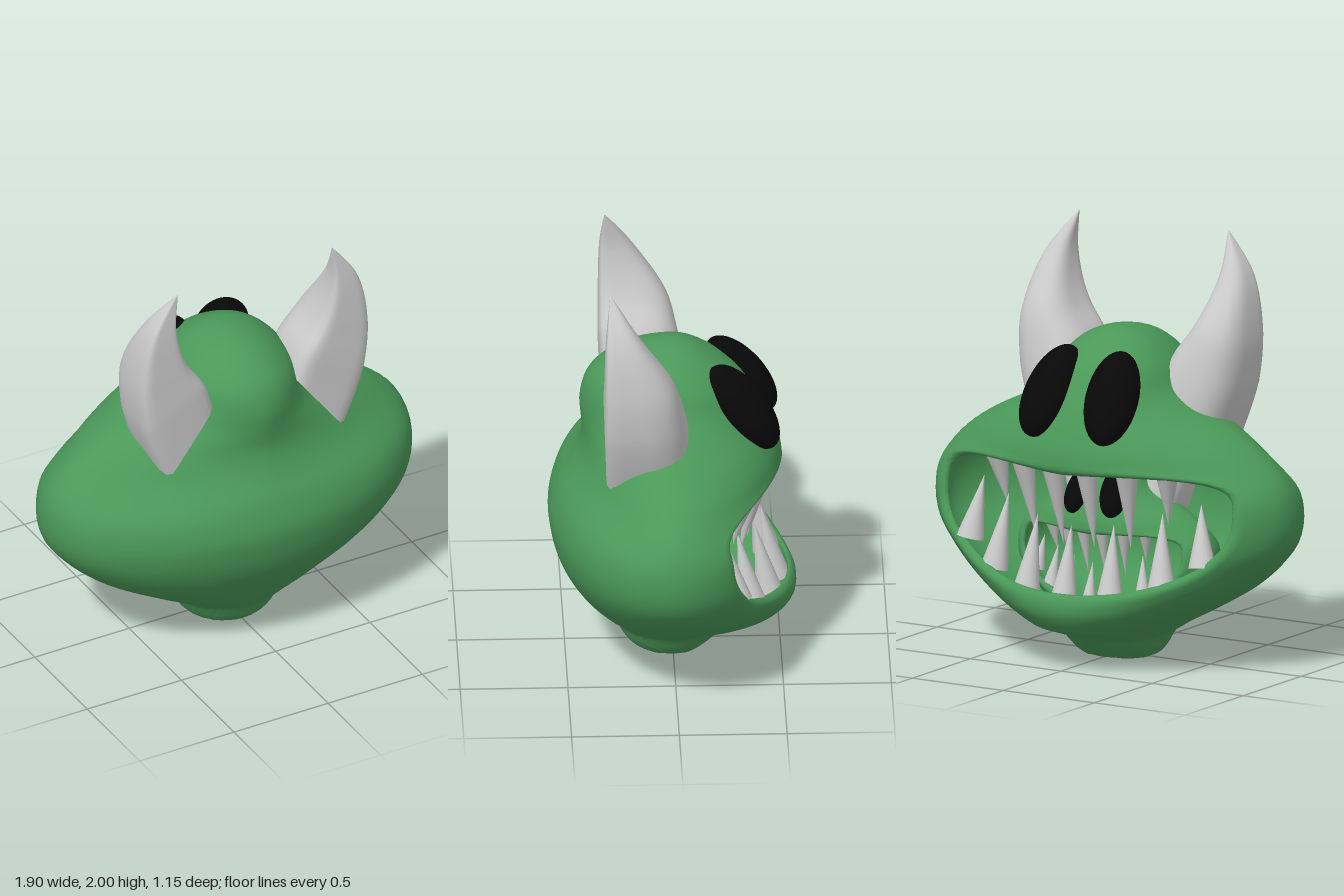
import * as THREE from 'three';
import { mergeVertices } from 'three/addons/utils/BufferGeometryUtils.js';

// body sections: height, half width, depth at the +z side, depth at the -z (mouth) side
const SECTIONS = [
  [0, .17, .17, .13], [.03, .21, .21, .17], [.08, .245, .245, .23], [.12, .265, .26, .29],
  [.165, .335, .305, .43], [.19, .375, .325, .5], [.25, .49, .375, .555], [.3, .58, .41, .575],
  [.4, .74, .48, .565], [.5, .85, .535, .55], [.6, .925, .565, .54], [.72, .95, .575, .53],
  [.85, .93, .535, .52], [.95, .87, .475, .51], [1.03, .78, .435, .5], [1.1, .67, .42, .475],
  [1.18, .51, .425, .44], [1.28, .36, .43, .385], [1.4, .28, .39, .3], [1.5, .18, .27, .17],
  [1.56, 0, 0, 0],
];
const CY = 0.75, MOUTH_W = 0.83, MOUTH_UP = 0.21, MOUTH_DOWN = 0.41;

// section size at height y, smoothly interpolated (in squares, to keep the crown round)
function sectionSize(y, k) {
  const S = SECTIONS, n = S.length;
  let i = 0;
  while (i < n - 2 && y > S[i + 1][0]) i++;
  const v = (j) => S[j][k] ** 2;
  const slope = (j) => {
    const a = Math.max(0, j - 1), b = Math.min(n - 1, j + 1);
    return (v(b) - v(a)) / (S[b][0] - S[a][0]);
  };
  const h = S[i + 1][0] - S[i][0], t = (y - S[i][0]) / h, t2 = t * t, t3 = t2 * t;
  return Math.sqrt(Math.max(1e-6, (2 * t3 - 3 * t2 + 1) * v(i) + (t3 - 2 * t2 + t) * h * slope(i)
    + (3 * t2 - 2 * t3) * v(i + 1) + (t3 - t2) * h * slope(i + 1)));
}

// sections are elliptical, but leaner towards the sides at shoulder height
function sectionPower(y) {
  const { smoothstep } = THREE.MathUtils;
  return 2 - 0.4 * smoothstep(y, 0.8, 1) * (1 - smoothstep(y, 1.2, 1.38));
}

function inside(x, y, z) {
  if (y < 0.005 || y > 1.56) return false;
  const p = sectionPower(y);
  return (Math.abs(x) / sectionSize(y, 1)) ** p + (Math.abs(z) / sectionSize(y, z > 0 ? 2 : 3)) ** p < 1;
}

// distance from the body centre to the skin along a direction
function skinDistance(d) {
  const test = (r) => inside(d.x * r, CY + d.y * r, d.z * r);
  let lo = 0.1;
  while (test(lo + 0.02)) lo += 0.02;
  let hi = lo + 0.02;
  for (let i = 0; i < 14; i++) {
    const m = (lo + hi) / 2;
    if (test(m)) lo = m; else hi = m;
  }
  return lo;
}

function lipZ(x, y) {
  const p = sectionPower(y), u = (Math.abs(x) / sectionSize(y, 1)) ** p;
  return -sectionSize(y, 3) * Math.max(0.01, 1 - u) ** (1 / p);
}

// joins rows of points, each a closed loop, into one smooth surface
function loft(rows) {
  const n = rows[0].length, pos = [], idx = [];
  rows.forEach((row) => row.forEach((p) => pos.push(p.x, p.y, p.z)));
  for (let i = 0; i < rows.length - 1; i++) {
    for (let j = 0; j < n; j++) {
      const a = i * n + j, b = i * n + (j + 1) % n;
      idx.push(a, b, a + n, b, b + n, a + n);
    }
  }
  const g = new THREE.BufferGeometry();
  g.setAttribute('position', new THREE.Float32BufferAttribute(pos, 3));
  g.setIndex(idx);
  return g;
}

// hollow skin: inner wall from the back to the lip, then the outer wall to the back again
function bodyGeometry() {
  const AROUND = 144, STEPS = 76, THICK = 0.05;
  const plan = [];
  for (let i = STEPS; i >= 0; i--) plan.push([i / STEPS, THICK]);
  plan.push([-0.008, THICK * 0.8], [-0.011, THICK * 0.5], [-0.008, THICK * 0.2]);
  for (let i = 0; i <= STEPS; i++) plan.push([i / STEPS, 0]);
  const columns = [];
  for (let j = 0; j < AROUND; j++) {
    const th = j / AROUND * Math.PI * 2, c = Math.cos(th), s = Math.sin(th);
    const n = s > 0 ? 4 : 2, b = s > 0 ? MOUTH_UP : MOUTH_DOWN;
    const r = (Math.abs(c / MOUTH_W) ** n + Math.abs(s / b) ** n) ** (-1 / n);
    const lipAngle = Math.atan2(r, lipZ(r * c, CY + r * s));
    columns.push(plan.map(([t, inset]) => {
      const a = lipAngle * (1 - t);
      const d = new THREE.Vector3(c * Math.sin(a), s * Math.sin(a), Math.cos(a));
      return d.clone().multiplyScalar(skinDistance(d) - inset).add(new THREE.Vector3(0, CY, 0));
    }));
  }
  const g = mergeVertices(loft(plan.map((_, i) => columns.map((col) => col[i]))), 1e-5);
  g.computeVertexNormals();
  return g;
}

// curved horn: rounded towards the mouth side, squarer at the other
function hornGeometry() {
  const V = (x, y, z) => new THREE.Vector3(x, y, z);
  const path = new THREE.CatmullRomCurve3([V(.345, 1.16, .12), V(.425, 1.38, .145),
    V(.48, 1.565, .17), V(.483, 1.8, .242), V(.41, 2, .3)]);
  const size = new THREE.CatmullRomCurve3([V(.215, .2, 0), V(.18, .185, 0),
    V(.127, .158, 0), V(.066, .08, 0), V(.001, .001, 0)]);
  const tilt = [-0.93, -0.5, -0.28, 0, 0.4];
  const rows = [], STEPS = 24, AROUND = 48;
  for (let i = 0; i <= STEPS; i++) {
    const t = i / STEPS, c = path.getPoint(t), h = size.getPoint(t);
    const k = Math.min(3, Math.floor(t * 4));
    const ang = THREE.MathUtils.lerp(tilt[k], tilt[k + 1], t * 4 - k);
    const row = [];
    for (let j = 0; j < AROUND; j++) {
      const a = j / AROUND * Math.PI * 2, co = Math.cos(a), si = -Math.sin(a);
      const n = si > 0 ? 8 : 2.5;
      const q = (Math.abs(co) ** n + Math.abs(si) ** n) ** (-1 / n);
      row.push(V(c.x + Math.cos(ang) * co * q * h.x, c.y + Math.sin(ang) * co * q * h.x,
        c.z + si * q * h.y));
    }
    if (i === 0) rows.push(row.map(() => c.clone()), row.map((p) => p.clone()));
    rows.push(row);
  }
  const g = loft(rows);
  g.computeVertexNormals();
  return g;
}

function createCreature() {
  const mat = (name, color) => {
    const m = new THREE.MeshStandardMaterial({ color });
    m.name = name;
    return m;
  };
  const green = mat('green skin', 0x4a9858);
  const ivory = mat('pale horn', 0xcacaca);
  const black = mat('black eye', 0x080808);
  const creature = new THREE.Group();
  creature.name = 'creature';
  const add = (name, geometry, material, parent = creature) => {
    const mesh = new THREE.Mesh(geometry, material);
    mesh.name = name;
    parent.add(mesh);
    return mesh;
  };

  add('body', bodyGeometry(), green);

  // horns and eyes, mirrored
  const horn = hornGeometry(), ball = new THREE.SphereGeometry(1, 40, 28);
  for (const side of [1, -1]) {
    const label = side > 0 ? 'left' : 'right';
    add(label + 'Horn', horn, ivory).scale.x = side;
    const eye = add(label + 'Eye', ball, black);
    eye.scale.set(0.125, 0.24, 0.11);
    eye.position.set(side * 0.168, 1.285, -0.325);
    eye.rotation.set(0.655, -side * 0.2, 0, 'YXZ');
  }

  // teeth set just inside both lips, leaning into the mouth
  const teeth = new THREE.Group();
  teeth.name = 'teeth';
  creature.add(teeth);
  const tooth = (x, upper, length, radius) => {
    const n = upper ? 4 : 2, b = upper ? MOUTH_UP : -MOUTH_DOWN;
    const y = CY + b * (1 - Math.abs(x / MOUTH_W) ** n) ** (1 / n), z = lipZ(x, y);
    const inward = 1 - (upper ? 0.075 : 0.09) / Math.hypot(x, z);
    const dir = new THREE.Vector3(-x * 0.2, upper ? -1 : 1, 0.2).normalize();
    const geo = new THREE.ConeGeometry(radius, length, 20);
    geo.translate(0, length / 2, 0);
    const mesh = add(upper ? 'upperTooth' : 'lowerTooth', geo, ivory, teeth);
    mesh.position.set(x * inward, y + (upper ? 0.01 : -0.02), z * inward);
    mesh.quaternion.setFromUnitVectors(new THREE.Vector3(0, 1, 0), dir);
  };
  for (const side of [1, -1]) {
    [[.11, .41], [.33, .4], [.53, .26]].forEach(([x, l]) => tooth(side * x, true, l, .056));
    [[.27, .37], [.53, .36], [.72, .3]].forEach(([x, l]) => tooth(side * x, false, l, .066));
  }
  tooth(0, false, .37, .066);
  return creature;
}

export function createModel() {
  const model = new THREE.Group();
  model.name = 'hornedCreature';
  const outer = createCreature();
  // a smaller twin sits inside the mouth
  const inner = outer.clone();
  inner.name = 'innerCreature';
  inner.scale.setScalar(0.55);
  inner.position.y = 0.1;
  model.add(outer, inner);
  return model;
}
